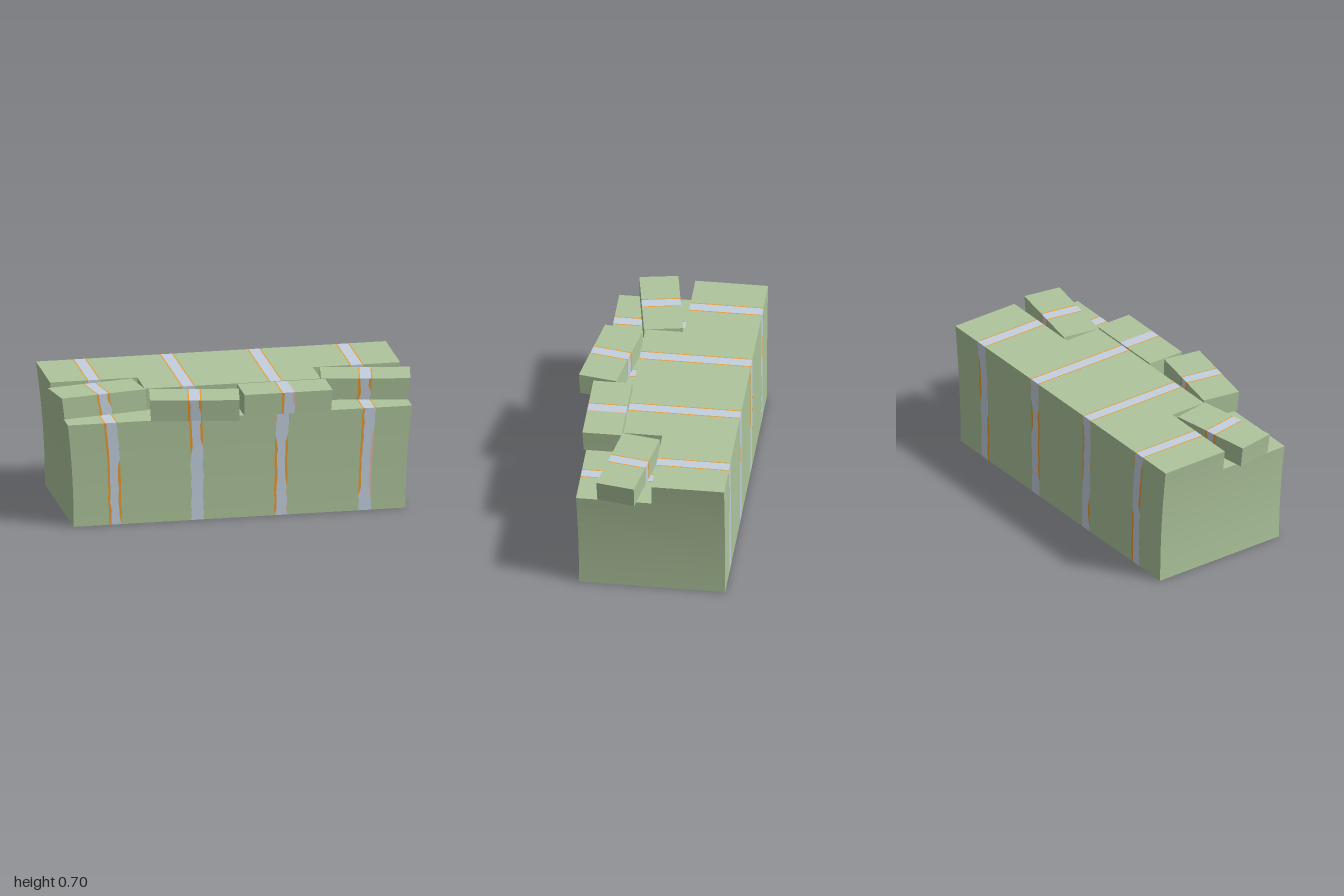
import * as THREE from 'three';
import { toCreasedNormals } from 'three/addons/utils/BufferGeometryUtils.js';

const mat = (name, color) => Object.assign(new THREE.MeshStandardMaterial({ color }), { name });

// small seeded generator for the ragged stripe edges
let seed = 7;
const rand = () => (seed = (seed * 16807) % 2147483647) / 2147483647;

const HEIGHT = 0.7;
const LEDGE = 0.58;
const GREEN = 0, GREY = 1, ORANGE = 2, TAN = 3;

// everything narrows towards the ground in a soft curve; the back stays flat
function flare(x, y, z) {
  const f = 0.948 + 0.052 * (y / HEIGHT) ** 2;
  return [x * f, y, z > 0 ? z * f : z];
}

// A stripe at x. front and back hold the heights [from, to] over which
// its left and right borders are thick; right and frontRight colour the right border.
const stripe = (x, front, back, right = ORANGE, frontRight = right) =>
  ({ x, front, back, right, frontRight });

// A block split into columns, so that each stripe is a set of faces of its own.
// turn is about the block's centre.
function block(name, materials, { x0, x1, y0, y1, z0, z1, stripes, rows, cx = 0, cz = 0, turn = 0 }) {
  const tris = materials.map(() => []);
  const c = Math.cos(turn), s = Math.sin(turn);
  const place = ([x, y, z]) => flare(cx + x * c - z * s, y, cz + x * s + z * c);
  const quad = (m, a, b, d, e) => {
    const [A, B, D, E] = [a, b, d, e].map(place);
    tris[m].push(...A, ...B, ...D, ...A, ...D, ...E);
  };

  const columns = (key) => [GREEN, ...stripes.flatMap((t) => [ORANGE, GREY, t[key], GREEN])];
  const borders = (widths, wander) => [x0, ...stripes.flatMap((t) => {
    const x = t.x + (rand() - 0.5) * wander, [l, r] = widths(t);
    return [x - 0.037, x - 0.037 + l, x + 0.037 - r, x + 0.037];
  }), x1];

  // top and bottom
  const flat = borders(() => [0.007, 0.007], 0);
  columns('right').forEach((m, i) => {
    const a = flat[i], b = flat[i + 1];
    quad(m, [a, y1, z1], [b, y1, z1], [b, y1, z0], [a, y1, z0]);
    quad(m, [a, y0, z0], [b, y0, z0], [b, y0, z1], [a, y0, z1]);
  });

  // front and back, where the borders wander and fray from row to row
  const ragged = (face, y) => borders((t) => t[face].map(([from, to]) =>
    (y >= from && y <= to ? 0.011 + rand() * 0.005 : 0.001)), 0.007);
  const level = (r) => y0 + (y1 - y0) * r / rows;
  let front = ragged('front', y0), back = ragged('back', y0);
  for (let r = 0; r < rows; r++) {
    const lo = level(r), hi = level(r + 1);
    const front2 = ragged('front', hi), back2 = ragged('back', hi);
    columns('frontRight').forEach((m, i) =>
      quad(m, [front[i], lo, z1], [front[i + 1], lo, z1], [front2[i + 1], hi, z1], [front2[i], hi, z1]));
    columns('right').forEach((m, i) =>
      quad(m, [back[i + 1], lo, z0], [back[i], lo, z0], [back2[i], hi, z0], [back2[i + 1], hi, z0]));
    // the two ends
    quad(GREEN, [x1, lo, z1], [x1, lo, z0], [x1, hi, z0], [x1, hi, z1]);
    quad(GREEN, [x0, lo, z0], [x0, lo, z1], [x0, hi, z1], [x0, hi, z0]);
    front = front2;
    back = back2;
  }

  const geo = new THREE.BufferGeometry();
  geo.setAttribute('position', new THREE.Float32BufferAttribute(tris.flat(), 3));
  const smooth = toCreasedNormals(geo, 0.4);
  let start = 0;
  tris.forEach((t, m) => {
    if (t.length) smooth.addGroup(start, t.length / 3, m);
    start += t.length / 3;
  });
  const mesh = new THREE.Mesh(smooth, materials);
  mesh.name = name;
  return mesh;
}

export function createModel() {
  seed = 7;
  const materials = [
    mat('sageGreen', 0xaec59c), mat('paleBlueGrey', 0xc3d0de),
    mat('orangeEdge', 0xeb9f36), mat('tanEdge', 0xdcb9ab),
  ];
  const group = new THREE.Group();
  group.name = 'stripedBlock';

  const left = -0.968, right = 0.964, backZ = -0.457;
  const inner = [
    stripe(-0.247, [[0.38, 0.58], [0.42, 0.56]], [[0.05, 0.2], [0.3, 0.62]]),
    stripe(0.236, [[0.04, 0.45], [0.18, 0.42]], [[0.1, 0.5], [0.4, 0.55]]),
  ];
  const all = [
    stripe(-0.727, [[0, 0.58], [0.04, 0.35]], [[0.36, 0.62], [0, 0.3]]),
    ...inner,
    stripe(0.725, [[0.1, 0.58], [0.1, 0.45]], [[0, 0.26], [0.35, 0.6]], ORANGE, TAN),
  ];

  // main body, with a raised back that steps forward in the middle
  group.add(block('body', materials,
    { x0: left, x1: right, y0: 0, y1: LEDGE, z0: backZ, z1: 0.359, stripes: all, rows: 14 }));
  group.add(block('raisedBack', materials,
    { x0: left, x1: right, y0: LEDGE, y1: HEIGHT, z0: backZ, z1: -0.06, stripes: all, rows: 3 }));
  group.add(block('raisedMiddle', materials,
    { x0: -0.487, x1: 0.483, y0: LEDGE, y1: HEIGHT, z0: -0.06, z1: 0.152, stripes: inner, rows: 3 }));

  // four loose slabs resting on the ledge: centre x, centre z, turn in degrees
  const slabs = [
    ['outerRightSlab', -0.743, 0.098, -10, ORANGE],
    ['innerRightSlab', -0.246, 0.312, 10, ORANGE],
    ['innerLeftSlab', 0.263, 0.267, 0, TAN],
    ['outerLeftSlab', 0.741, 0.094, 10, ORANGE],
  ];
  const fray = [[LEDGE, HEIGHT], [0.65, HEIGHT]];
  for (const [name, cx, cz, degrees, edge] of slabs) {
    group.add(block(name, materials, {
      x0: -0.243, x1: 0.243, y0: LEDGE, y1: HEIGHT, z0: -0.106, z1: 0.106,
      stripes: [stripe(0, fray, fray, edge)], rows: 3, cx, cz, turn: THREE.MathUtils.degToRad(degrees),
    }));
  }
  return group;
}
